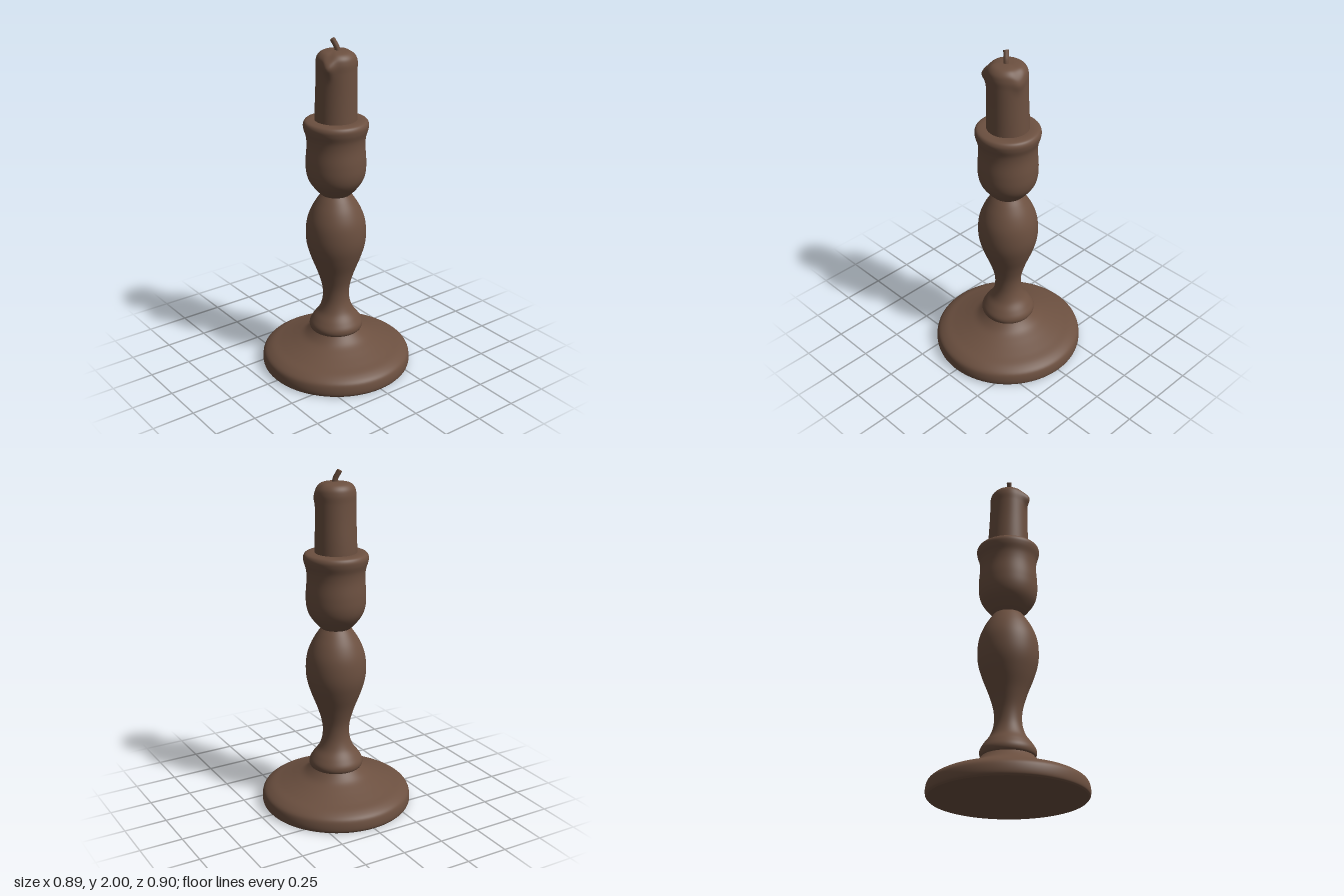
import * as THREE from 'three';

export function createModel() {
  const model = new THREE.Group();
  const brown = new THREE.MeshStandardMaterial({ color: 0x6c5040 });
  brown.name = 'warm brown';

  const add = (name, geometry) => {
    const mesh = new THREE.Mesh(geometry, brown);
    mesh.name = name;
    model.add(mesh);
    return mesh;
  };

  // Smooth turned shape through [radius, height] points, bottom to top
  const turned = (points, steps) => {
    const curve = new THREE.CatmullRomCurve3(
      points.map(([r, y]) => new THREE.Vector3(r, y, 0)), false, 'centripetal');
    const profile = curve.getPoints(steps).map(p => new THREE.Vector2(Math.max(p.x, 0), p.y));
    return new THREE.LatheGeometry(profile, 72);
  };

  // Wide flared foot and its flat underside
  const foot = add('foot', turned([
    [0.432, 0], [0.441, 0.012], [0.442, 0.05], [0.432, 0.08], [0.395, 0.107], [0.33, 0.13],
    [0.25, 0.16], [0.19, 0.188], [0.15, 0.225], [0.14, 0.24]], 48));
  foot.scale.z = 1.012;
  const underside = add('footUnderside', new THREE.CircleGeometry(0.432, 72).rotateX(Math.PI / 2));
  underside.scale.z = 1.012;

  // Collar, waist and swelling of the stem
  add('stem', turned([
    [0.12, 0.228], [0.15, 0.231], [0.158, 0.245], [0.157, 0.268], [0.136, 0.305], [0.103, 0.35],
    [0.084, 0.4], [0.078, 0.45], [0.083, 0.51], [0.109, 0.6], [0.147, 0.7], [0.17, 0.78],
    [0.176, 0.85], [0.168, 0.93], [0.143, 1.0], [0.108, 1.06], [0.078, 1.1]], 80));

  // Cup that holds the candle
  add('cup', turned([
    [0.07, 1.085], [0.086, 1.093], [0.122, 1.13], [0.156, 1.18], [0.17, 1.23], [0.172, 1.3],
    [0.166, 1.39], [0.17, 1.44], [0.183, 1.485], [0.185, 1.512], [0.175, 1.53],
    [0.15, 1.537], [0.1, 1.536]], 64));

  // Candle with a melted rim: pulled in at the back, with drips at the sides
  const candle = turned([
    [0.121, 1.52], [0.119, 1.6], [0.116, 1.72], [0.115, 1.82], [0.115, 1.87], [0.107, 1.9],
    [0.085, 1.922], [0.045, 1.931], [0, 1.932]], 64);
  const drips = [ // direction in x and z, height, bulge, angular width
    [-0.12, 0.075, 1.865, 0.026, 0.25],
    [0.12, 0.03, 1.86, 0.009, 0.3]];
  const pos = candle.attributes.position;
  const v = new THREE.Vector3();
  for (let i = 0; i < pos.count; i++) {
    v.fromBufferAttribute(pos, i);
    const radius = Math.hypot(v.x, v.z);
    if (radius > 1e-5) {
      const angle = Math.atan2(v.z, v.x);
      const rise = THREE.MathUtils.smoothstep(v.y, 1.53, 1.85);
      const rim = Math.min(radius / 0.11, 1) ** 3;
      let scale = 1;
      for (const [x, z, y, bulge, width] of drips) {
        let d = angle - Math.atan2(z, x);
        d = Math.atan2(Math.sin(d), Math.cos(d));
        const around = Math.exp(-((d / width) ** 2));
        scale += (bulge / 0.115) * rim * around * Math.exp(-(((v.y - y) / 0.045) ** 2));
        v.y -= 0.012 * rim * around * rise;
      }
      v.x *= scale;
      v.z *= scale * (1 + rise * (v.z < 0 ? -0.08 : 0.05));
    }
    pos.setXYZ(i, v.x, v.y, v.z);
  }
  // Keep the seam smooth by copying the first column's normals to the last
  candle.computeVertexNormals();
  const normal = candle.attributes.normal, rows = 65;
  for (let j = 0; j < rows; j++) {
    const k = pos.count - rows + j;
    v.fromBufferAttribute(normal, j)
      .add(new THREE.Vector3().fromBufferAttribute(normal, k)).normalize();
    normal.setXYZ(j, v.x, v.y, v.z);
    normal.setXYZ(k, v.x, v.y, v.z);
  }
  add('candle', candle);

  // Short bent wick
  const path = new THREE.CatmullRomCurve3([
    new THREE.Vector3(0.003, 1.915, 0.016), new THREE.Vector3(-0.003, 1.95, 0.01),
    new THREE.Vector3(-0.013, 1.975, 0.001), new THREE.Vector3(-0.021, 1.993, -0.005)]);
  add('wick', new THREE.TubeGeometry(path, 10, 0.015, 10));
  const tip = add('wickTip', new THREE.CircleGeometry(0.015, 10));
  tip.position.copy(path.getPoint(1));
  tip.lookAt(path.getPoint(1).add(path.getTangent(1)));

  return model;
}
